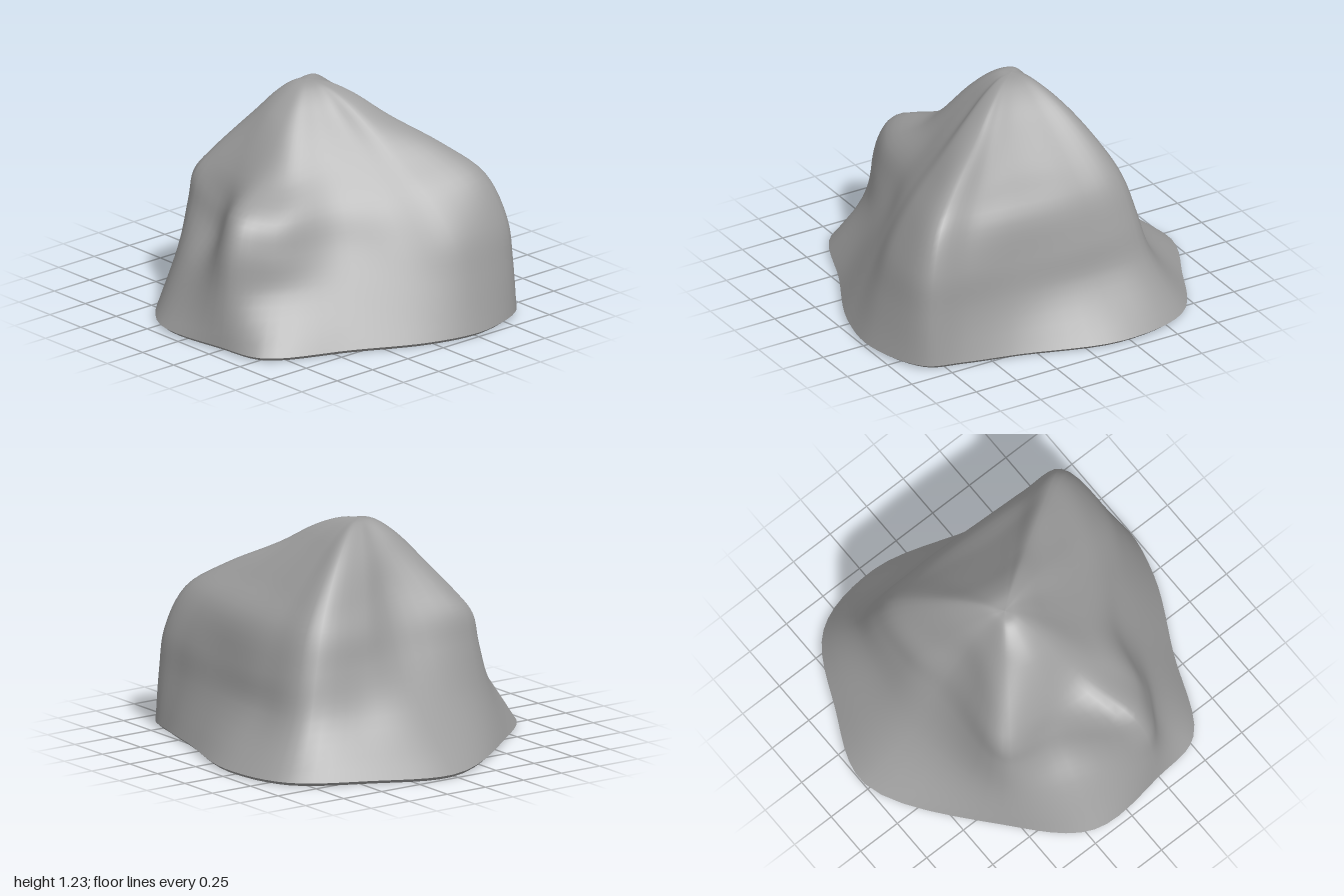
import * as THREE from 'three';

// One row per direction around the summit (degrees from the front towards +x):
// angle, base r, r at y 0.3, then (r, y) lower wall, (r, y) shoulder, (r, y) upper slope, r at y 1.06
const PROFILES = [
  [0, 1.02, 0.88, 0.77, 0.5, 0.65, 0.68, 0.47, 0.87, 0.27],
  [17, 1.12, 1.04, 0.96, 0.52, 0.81, 0.72, 0.61, 0.88, 0.38],
  [35, 1.15, 1.13, 1.1, 0.53, 0.98, 0.77, 0.75, 0.92, 0.45],
  [45, 1.04, 0.97, 0.94, 0.52, 0.83, 0.75, 0.63, 0.89, 0.38],
  [62, 0.92, 0.8, 0.76, 0.5, 0.69, 0.74, 0.5, 0.9, 0.31],
  [97, 0.97, 0.75, 0.7, 0.5, 0.62, 0.73, 0.49, 0.88, 0.3],
  [122, 1.02, 0.83, 0.75, 0.53, 0.67, 0.73, 0.57, 0.87, 0.37],
  [148, 0.91, 0.66, 0.54, 0.55, 0.48, 0.72, 0.38, 0.87, 0.25],
  [177, 0.92, 0.6, 0.43, 0.55, 0.35, 0.72, 0.27, 0.88, 0.19],
  [230, 0.77, 0.68, 0.63, 0.56, 0.6, 0.72, 0.5, 0.84, 0.27],
  [262, 0.93, 0.74, 0.59, 0.47, 0.53, 0.62, 0.46, 0.79, 0.28],
  [290, 0.96, 0.92, 0.88, 0.55, 0.79, 0.7, 0.49, 0.83, 0.28],
  [306, 1.04, 0.84, 0.79, 0.5, 0.72, 0.66, 0.49, 0.82, 0.27],
  [334, 0.92, 0.76, 0.65, 0.5, 0.56, 0.68, 0.41, 0.86, 0.24],
];
const CENTRE = { x: -0.02, z: -0.08 };
const SUMMIT = 1.23;
const LIP = 0.02;
const AROUND = PROFILES.length * 6;
const UP = 40;

// Control points of one profile, from the base lip up towards the blunt summit
function profilePoints([deg, r0, r1, r2, y2, r3, y3, r4, y4, r5]) {
  const a = THREE.MathUtils.degToRad(deg);
  const rows = [[r0, LIP], [r1, 0.3], [r2, y2], [r3, y3], [r4, y4], [r5, 1.06], [r5 * 0.57, 1.17], [r5 * 0.27, 1.22]];
  return rows.map(([r, y]) => new THREE.Vector3(CENTRE.x + r * Math.sin(a), y, CENTRE.z + r * Math.cos(a)));
}

// Smooth closed contours through the profiles, then smooth columns through the contours
function buildColumns() {
  const profiles = PROFILES.map(profilePoints);
  const contours = profiles[0].map((_, k) =>
    new THREE.CatmullRomCurve3(profiles.map((p) => p[k]), true, 'centripetal'));
  const top = new THREE.Vector3(CENTRE.x, SUMMIT, CENTRE.z);
  const columns = [];
  for (let i = 0; i < AROUND; i++) {
    const points = contours.map((c) => c.getPoint(i / AROUND));
    const curve = new THREE.CatmullRomCurve3([...points, top], false, 'centripetal');
    columns.push(curve.getPoints(UP));
  }
  return columns;
}

function makeGeometry(positions, index) {
  const g = new THREE.BufferGeometry();
  g.setAttribute('position', new THREE.Float32BufferAttribute(positions, 3));
  g.setIndex(index);
  g.computeVertexNormals();
  return g;
}

export function createModel() {
  const group = new THREE.Group();
  group.name = 'rock';
  const material = new THREE.MeshStandardMaterial({ color: 0x9d9d9d });
  const columns = buildColumns();

  // Weathered sides, ridges and summit
  const positions = [];
  const index = [];
  for (let j = 0; j <= UP; j++) for (const c of columns) positions.push(c[j].x, c[j].y, c[j].z);
  for (let j = 0; j < UP; j++) {
    for (let i = 0; i < AROUND; i++) {
      const n = (i + 1) % AROUND;
      const a = j * AROUND + i, b = j * AROUND + n;
      index.push(a, b, b + AROUND);
      if (j < UP - 1) index.push(a, b + AROUND, a + AROUND);
    }
  }
  const body = new THREE.Mesh(makeGeometry(positions, index), material);
  body.name = 'rockBody';
  group.add(body);

  // Thin undercut lip and flat underside
  const under = [];
  const underIndex = [];
  for (const [inset, y] of [[1, LIP], [0.975, 0]]) {
    for (const c of columns) under.push(c[0].x * inset, y, c[0].z * inset);
  }
  under.push(0, 0, 0);
  for (let i = 0; i < AROUND; i++) {
    const n = (i + 1) % AROUND;
    underIndex.push(i, AROUND + i, AROUND + n, i, AROUND + n, n);
    underIndex.push(2 * AROUND, AROUND + n, AROUND + i);
  }
  const flat = makeGeometry(under, underIndex).toNonIndexed();
  flat.computeVertexNormals();
  const base = new THREE.Mesh(flat, material);
  base.name = 'rockUnderside';
  group.add(base);

  return group;
}
